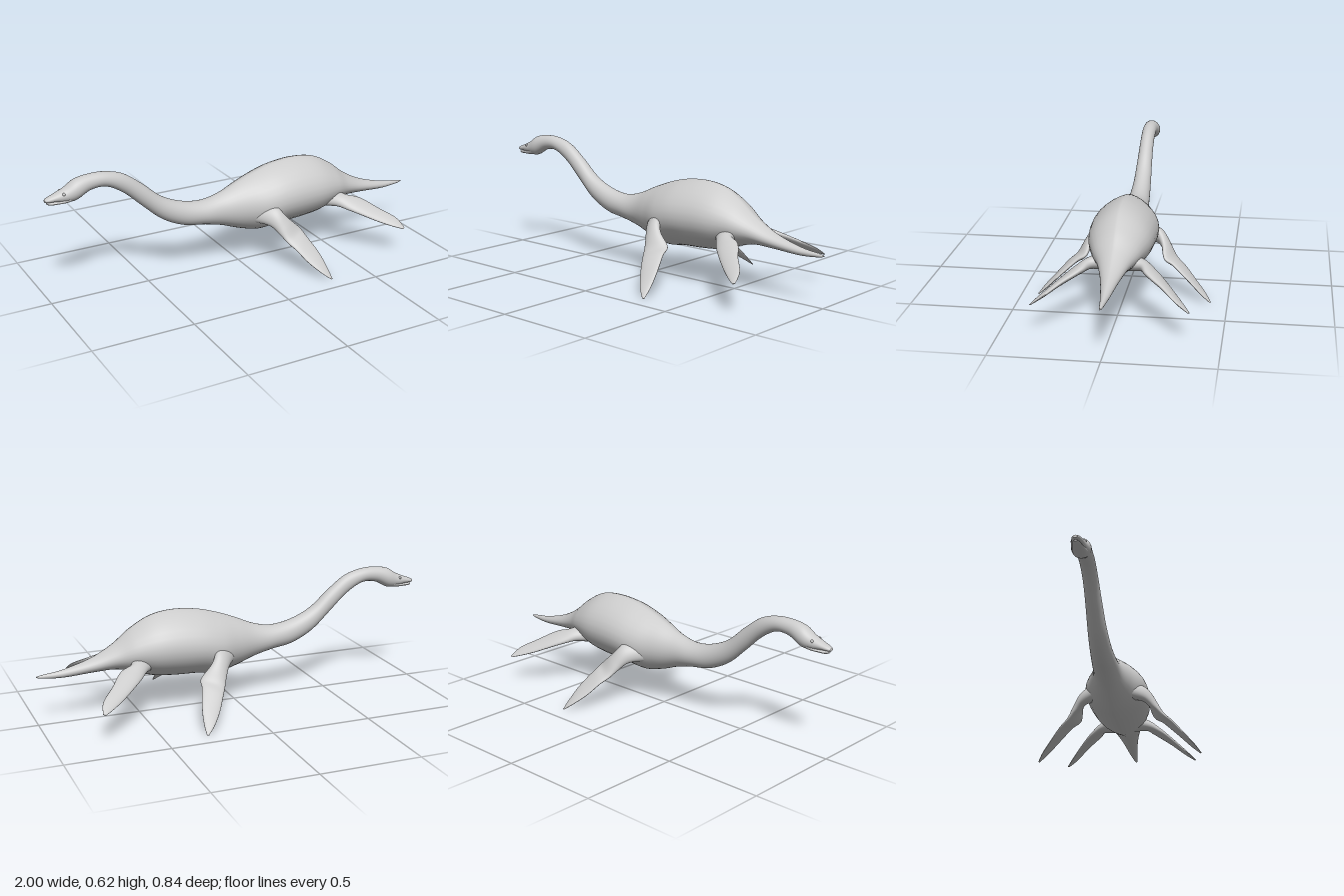
import * as THREE from 'three';

const SIDES = 32;

// Smooth interpolation through the rows of a table, column by column
function sampleRows(rows, t) {
  const f = t * (rows.length - 1);
  const i = Math.min(Math.floor(f), rows.length - 2);
  const u = f - i;
  const at = (k) => rows[Math.max(0, Math.min(rows.length - 1, k))];
  const [p, a, b, n] = [at(i - 1), at(i), at(i + 1), at(i + 2)];
  return a.map((v, c) => {
    const m0 = (b[c] - p[c]) / 2, m1 = (n[c] - v) / 2, d = b[c] - v;
    return v + u * (m0 + u * (3 * d - 2 * m0 - m1 + u * (m0 + m1 - 2 * d)));
  });
}

// Skin a closed surface over rings; ringPoint(t, angle) gives each vertex
function loft(steps, ringPoint) {
  const pos = [], index = [];
  for (let i = 0; i <= steps; i++)
    for (let j = 0; j < SIDES; j++)
      pos.push(...ringPoint(i / steps, (j / SIDES) * Math.PI * 2));
  for (let i = 0; i < steps; i++)
    for (let j = 0; j < SIDES; j++) {
      const k = (j + 1) % SIDES;
      const a = i * SIDES + j, b = i * SIDES + k, c = a + SIDES, d = b + SIDES;
      index.push(a, c, b, b, c, d);
    }
  // End caps
  const last = steps * SIDES;
  for (let j = 1; j < SIDES - 1; j++) {
    index.push(0, j, j + 1);
    index.push(last, last + j + 1, last + j);
  }
  const g = new THREE.BufferGeometry();
  g.setAttribute('position', new THREE.Float32BufferAttribute(pos, 3));
  g.setIndex(index);
  g.computeVertexNormals();
  return g;
}

// Rows: x, top, bottom, half width, ridge (0 round, 1 keeled)
function trunkGeometry(rows, steps) {
  return loft(steps, (t, a) => {
    const [x, top, bottom, w, ridge] = sampleRows(rows, t);
    const c = Math.cos(a);
    const z = Math.sign(c) * Math.pow(Math.abs(c), 1 + 0.5 * Math.max(0, ridge)) * w;
    return [x, (top + bottom) / 2 + Math.sin(a) * (top - bottom) / 2, z];
  });
}

// Rows: leading edge xyz, trailing edge xyz, thickness
function flipperGeometry(rows, side) {
  const frame = (t) => {
    const r = sampleRows(rows, t);
    const lead = new THREE.Vector3(r[0], r[1], r[2] * side);
    const trail = new THREE.Vector3(r[3], r[4], r[5] * side);
    return {
      centre: lead.clone().add(trail).multiplyScalar(0.5),
      chord: trail.sub(lead).multiplyScalar(0.5),
      thick: Math.max(r[6], 0.003) / 2,
    };
  };
  return loft(48, (t, a) => {
    const { centre, chord, thick } = frame(t);
    const span = frame(Math.min(1, t + 0.02)).centre.sub(frame(Math.max(0, t - 0.02)).centre);
    const normal = chord.clone().cross(span).normalize();
    return centre.addScaledVector(chord, Math.cos(a))
      .addScaledVector(normal, Math.sin(a) * thick).toArray();
  });
}

const BODY = [
  [-1.0, 0.53, 0.517, 0.01, 0],
  [-0.985, 0.538, 0.514, 0.019, 0],
  [-0.95, 0.551, 0.512, 0.027, 0],
  [-0.9, 0.573, 0.502, 0.037, 0],
  [-0.85, 0.603, 0.504, 0.044, 0],
  [-0.78, 0.615, 0.538, 0.037, 0],
  [-0.7, 0.612, 0.54, 0.036, 0],
  [-0.61, 0.585, 0.488, 0.036, 0],
  [-0.52, 0.52, 0.405, 0.039, 0],
  [-0.42, 0.435, 0.317, 0.045, 0],
  [-0.31, 0.385, 0.263, 0.052, 0],
  [-0.2, 0.368, 0.243, 0.06, 0.1],
  [-0.1, 0.389, 0.217, 0.07, 0.3],
  [0, 0.432, 0.18, 0.103, 0.6],
  [0.1, 0.469, 0.155, 0.143, 0.9],
  [0.2, 0.495, 0.165, 0.159, 1],
  [0.32, 0.505, 0.17, 0.158, 1],
  [0.43, 0.488, 0.183, 0.146, 1],
  [0.53, 0.435, 0.215, 0.115, 1],
  [0.62, 0.365, 0.236, 0.074, 0.8],
  [0.73, 0.306, 0.234, 0.043, 0.6],
  [0.87, 0.265, 0.226, 0.02, 0.4],
  [0.97, 0.251, 0.233, 0.008, 0.2],
  [1.0, 0.245, 0.241, 0.002, 0],
];

const JAW = [
  [-0.99, 0.512, 0.505, 0.008, 0],
  [-0.975, 0.513, 0.5, 0.018, 0],
  [-0.94, 0.518, 0.499, 0.025, 0],
  [-0.89, 0.535, 0.5, 0.033, 0],
  [-0.84, 0.54, 0.515, 0.025, 0],
];

const FRONT = [
  [0.02, 0.24, 0.07, 0.15, 0.32, 0.07, 0.1],
  [0.09, 0.23, 0.155, 0.15, 0.31, 0.145, 0.062],
  [0.122, 0.195, 0.21, 0.185, 0.26, 0.175, 0.046],
  [0.145, 0.16, 0.25, 0.245, 0.2, 0.19, 0.036],
  [0.17, 0.13, 0.29, 0.257, 0.17, 0.235, 0.029],
  [0.205, 0.08, 0.34, 0.285, 0.105, 0.31, 0.022],
  [0.25, 0.035, 0.39, 0.298, 0.045, 0.37, 0.014],
  [0.29, 0.003, 0.42, 0.3, 0.002, 0.417, 0.004],
];

const REAR = [
  [0.43, 0.25, 0.06, 0.56, 0.29, 0.04, 0.09],
  [0.495, 0.25, 0.135, 0.565, 0.285, 0.11, 0.056],
  [0.54, 0.235, 0.19, 0.62, 0.272, 0.14, 0.043],
  [0.59, 0.213, 0.235, 0.655, 0.255, 0.175, 0.034],
  [0.65, 0.185, 0.282, 0.692, 0.23, 0.225, 0.026],
  [0.71, 0.162, 0.325, 0.757, 0.188, 0.295, 0.017],
  [0.762, 0.146, 0.357, 0.775, 0.15, 0.35, 0.005],
];

export function createModel() {
  const group = new THREE.Group();
  const skin = new THREE.MeshStandardMaterial({ color: 0xcccccc });
  const add = (name, geometry) => {
    const mesh = new THREE.Mesh(geometry, skin);
    mesh.name = name;
    group.add(mesh);
    return mesh;
  };

  // Head, neck, torso and tail in one skin, with a separate lower jaw
  add('body', trunkGeometry(BODY, 160));
  add('lowerJaw', trunkGeometry(JAW, 24));

  // Paired flippers and eyes
  for (const side of [1, -1]) {
    const end = side > 0 ? 'NearSide' : 'FarSide';
    add('frontFlipper' + end, flipperGeometry(FRONT, side));
    add('rearFlipper' + end, flipperGeometry(REAR, side));
    const eye = add('eye' + end, new THREE.SphereGeometry(0.007, 16, 12));
    eye.position.set(-0.915, 0.55, side * 0.029);
  }
  return group;
}
